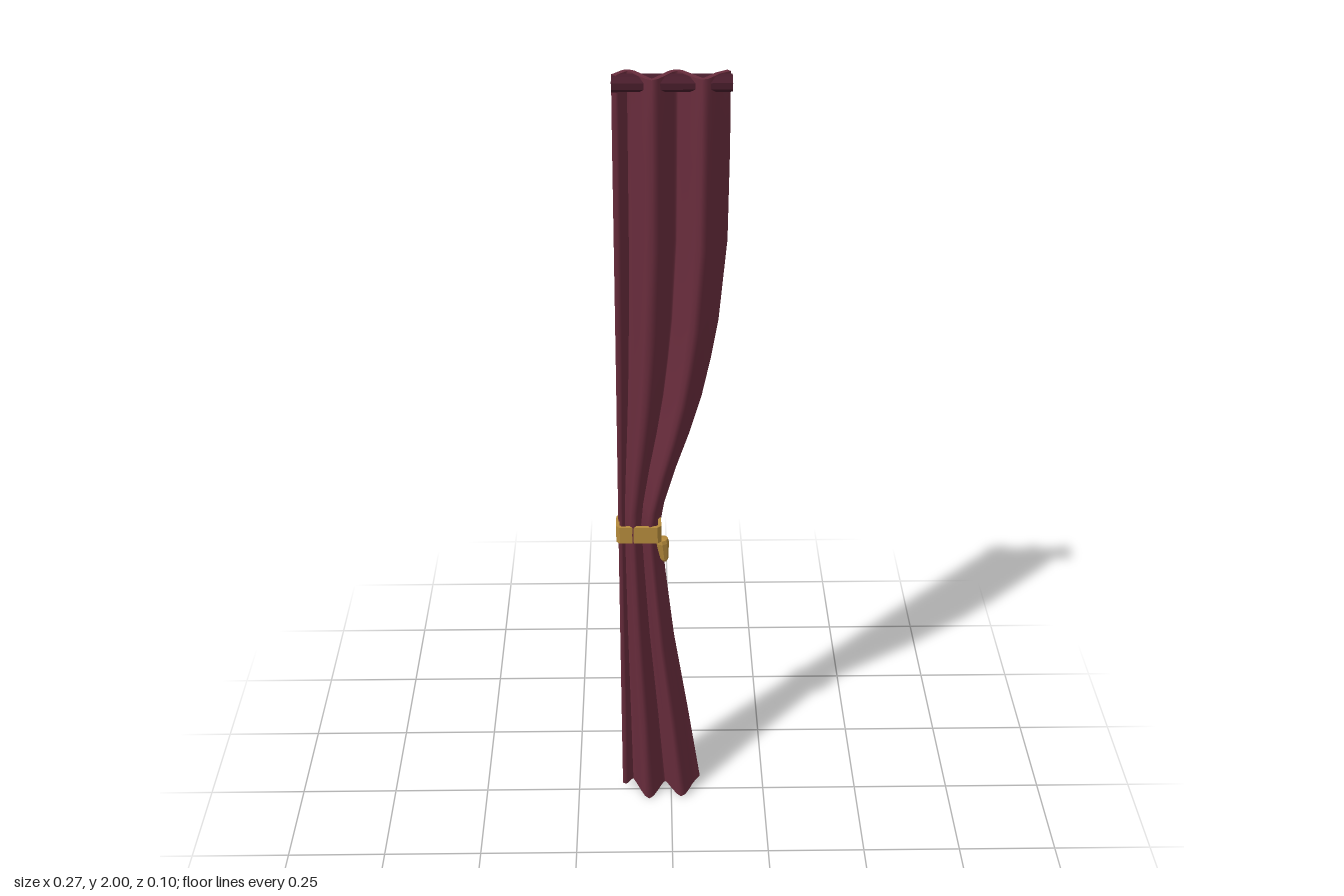
import * as THREE from 'three';

const fabric = new THREE.MeshStandardMaterial({ color: 0x682c3c });
fabric.name = 'burgundy fabric';
const darkFabric = new THREE.MeshStandardMaterial({ color: 0x481d2b });
darkFabric.name = 'dark burgundy';
const gold = new THREE.MeshStandardMaterial({ color: 0xb48a3c });
gold.name = 'gold';

const LEFT = -0.132;

// Rows from hem to top: [height, x of the free edge, fold depth]
const rows = [
  [0.0, 0.08, 0.037], [0.25, 0.045, 0.035], [0.5, 0.008, 0.033], [0.7, -0.014, 0.03],
  [0.84, -0.027, 0.028], [0.9, -0.017, 0.029], [1.0, 0.012, 0.031], [1.1, 0.046, 0.034],
  [1.2, 0.075, 0.037], [1.3, 0.096, 0.039], [1.4, 0.113, 0.041], [1.6, 0.131, 0.043],
  [1.8, 0.133, 0.043], [1.9, 0.133, 0.04], [2.0, 0.132, 0.032],
];

// Pleats across the width: (fraction of width, relative depth)
const pleats = new THREE.CatmullRomCurve3(
  [[0, 0], [0.1, -0.95], [0.17, -0.75], [0.33, 1], [0.5, -0.75], [0.58, -0.85], [0.765, 0.9], [0.9, -0.3], [1, -0.9]]
    .map(([f, d]) => new THREE.Vector3(f, 0, d)), false, 'catmullrom', 0.3);

// Closed cross-section: front side left to right, then back side right to left
function crossSection([y, right, depth], steps) {
  const width = right - LEFT;
  const half = 0.003 + 0.003 * Math.min(1, width / 0.26);
  const line = pleats.getPoints(steps).map(p =>
    new THREE.Vector2(LEFT + half + p.x * (width - 2 * half), p.z * depth));
  const front = [], back = [];
  line.forEach((p, i) => {
    const t = line[Math.min(i + 1, steps)].clone().sub(line[Math.max(i - 1, 0)]).normalize();
    const f = i / steps;
    const sag = 0.02 * (2 * f - 1) ** 2 * Math.max(0, 1 - y / 0.5);
    front.push([p.x - t.y * half, y + sag, p.y + t.x * half]);
    back.unshift([p.x + t.y * half, y + sag, p.y - t.x * half]);
  });
  return [...front, ...back];
}

function curtainGeometry() {
  const steps = 32, n = 2 * (steps + 1);
  const rings = rows.map(r => crossSection(r, steps));
  const positions = rings.flat(2), index = [];
  for (let j = 0; j < rings.length - 1; j++) {
    for (let i = 0; i < n; i++) {
      const k = (i + 1) % n;
      const a = j * n + i, b = j * n + k;
      index.push(a, b, b + n, a, b + n, a + n);
    }
  }
  // Hem and top edge get their own vertices so they stay sharp
  for (const [ring, up] of [[rings[0], false], [rings[rings.length - 1], true]]) {
    const s = positions.length / 3;
    positions.push(...ring.flat());
    for (let i = 0; i < steps; i++) {
      const a = s + i, b = a + 1, c = s + n - 2 - i, d = s + n - 1 - i;
      if (up) index.push(a, b, c, a, c, d);
      else index.push(a, c, b, a, d, c);
    }
  }
  const g = new THREE.BufferGeometry();
  g.setAttribute('position', new THREE.Float32BufferAttribute(positions, 3));
  g.setIndex(index);
  g.computeVertexNormals();
  return g;
}

// Rounded rectangle outline with chamfered corners
function chamferedRect(path, x, z, c) {
  [[-x + c, -z], [x - c, -z], [x, -z + c], [x, z - c], [x - c, z], [-x + c, z], [-x, z - c], [-x, -z + c]]
    .forEach(([a, b], i) => (i ? path.lineTo(a, b) : path.moveTo(a, b)));
  path.closePath();
  return path;
}

function flat(geometry) {
  const g = geometry.index ? geometry.toNonIndexed() : geometry;
  g.computeVertexNormals();
  return g;
}

export function createModel() {
  const group = new THREE.Group();
  const add = (name, geometry, material) => {
    const mesh = new THREE.Mesh(geometry, material);
    mesh.name = name;
    group.add(mesh);
    return mesh;
  };

  add('curtain', curtainGeometry(), fabric);

  // Rod sleeve along the top
  const sleeve = new THREE.CylinderGeometry(1, 1, 0.264, 8);
  sleeve.rotateY(Math.PI / 8).rotateZ(Math.PI / 2).scale(1, 0.0185, 0.028);
  add('rodSleeve', flat(sleeve), darkFabric).position.set(0.001, 1.981, -0.003);

  // Tieback band around the gathered cloth
  const ring = chamferedRect(new THREE.Shape(), 0.056, 0.0325, 0.009);
  ring.holes.push(chamferedRect(new THREE.Path(), 0.048, 0.0245, 0.005));
  const band = new THREE.ExtrudeGeometry(ring, { depth: 0.046, bevelEnabled: false });
  band.rotateX(-Math.PI / 2);
  add('tiebackBand', flat(band), gold).position.set(-0.081, 0.815, -0.002);

  // Hanging tassel: tapered, leaning toward the free edge
  const tassel = new THREE.LatheGeometry(
    [[0, -0.035], [0.006, -0.034], [0.01, -0.027], [0.0165, 0.022], [0.015, 0.032], [0, 0.035]]
      .map(([r, y]) => new THREE.Vector2(r, y)), 8);
  add('tiebackTassel', flat(tassel), gold).position.set(-0.02, 0.778, 0);
  group.getObjectByName('tiebackTassel').rotation.z = 0.1;

  return group;
}
